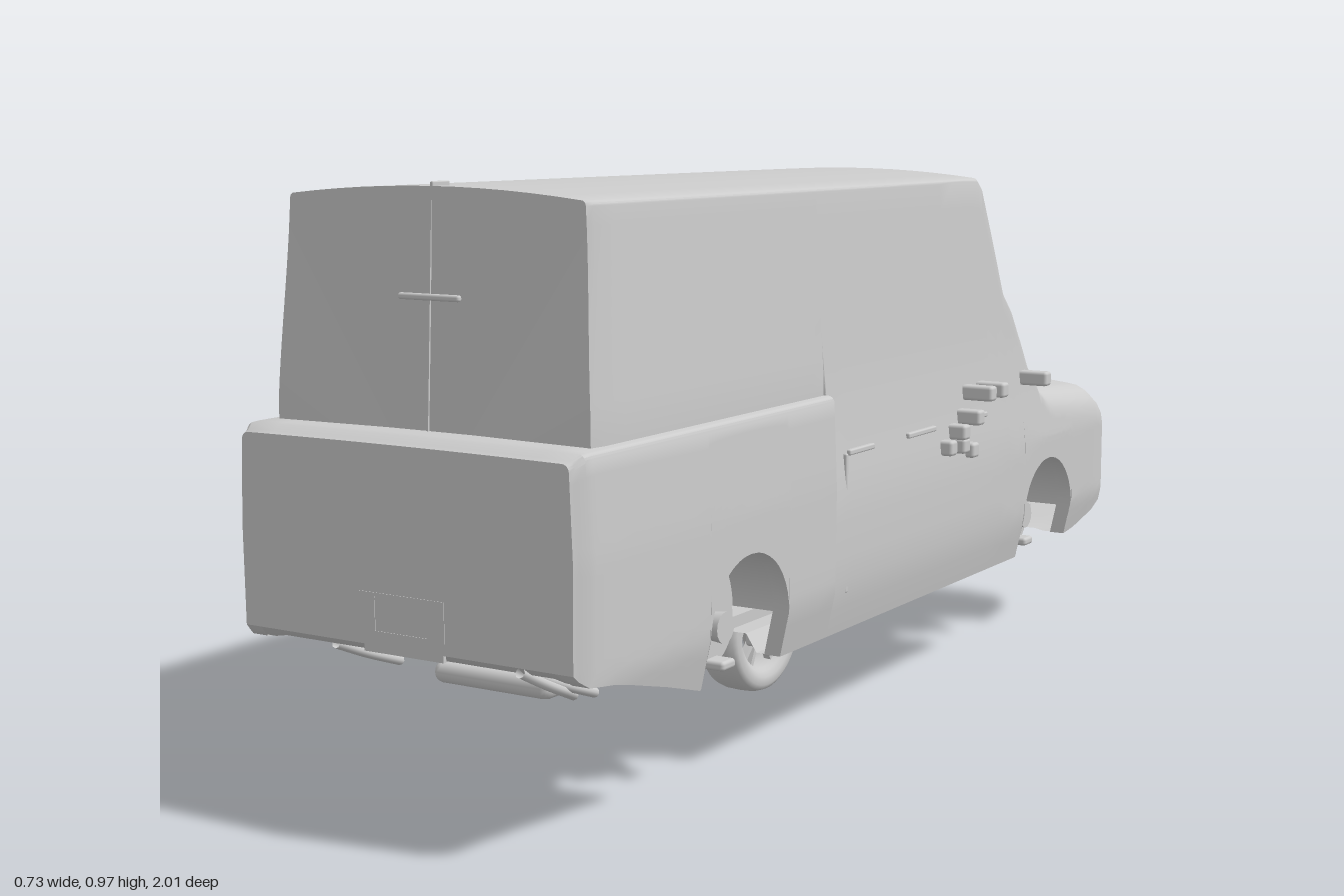
import * as THREE from 'three';
import { mergeVertices, toCreasedNormals } from 'three/addons/utils/BufferGeometryUtils.js';
import { RoundedBoxGeometry } from 'three/addons/geometries/RoundedBoxGeometry.js';

const { lerp, smoothstep } = THREE.MathUtils;

// linear interpolation in a short list of [key, value] pairs
function table(pairs, k) {
  if (k <= pairs[0][0]) return pairs[0][1];
  for (let i = 1; i < pairs.length; i++) {
    const [a, va] = pairs[i - 1], [b, vb] = pairs[i];
    if (k <= b) return lerp(va, vb, (k - a) / (b - a));
  }
  return pairs[pairs.length - 1][1];
}

// skin over equal-length cross-sections of [x, y, z], with optional flat ends
function loft(sections, caps = false) {
  const n = sections[0].length, pos = sections.flat(2), idx = [];
  for (let i = 0; i < sections.length - 1; i++) {
    for (let j = 0; j < n - 1; j++) {
      const a = i * n + j;
      idx.push(a, a + 1, a + n, a + 1, a + n + 1, a + n);
    }
  }
  if (caps) {
    [0, sections.length - 1].forEach((s, end) => {
      const c = pos.length / 3, first = sections[s][0];
      pos.push(0, first[1], first[2]);
      for (let j = 0; j < n - 1; j++) {
        const a = s * n + j;
        if (end) idx.push(c, a, a + 1); else idx.push(c, a + 1, a);
      }
    });
  }
  const g = new THREE.BufferGeometry();
  g.setAttribute('position', new THREE.Float32BufferAttribute(pos, 3));
  g.setIndex(idx);
  return toCreasedNormals(mergeVertices(g, 1e-5), 0.55);
}

// outlines along the vehicle, nose at -z
const TOP = [[-1, .37], [-.985, .425], [-.965, .458], [-.93, .495], [-.88, .513], [-.75, .522], [-.64, .532], [-.61, .54],
  [-.556, .652], [-.52, .71], [-.485, .745], [-.445, .85], [-.405, .945], [-.38, .96], [.93, .965]];
const BOTTOM = [[-1, .31], [-.985, .275], [-.95, .25], [-.8, .205], [-.7, .19], [.66, .19], [.76, .22], [.9, .258], [.98, .27], [1, .29]];
const CORNER = [[-1, .05], [-.93, .07], [-.66, .06], [-.6, .025], [-.4, .012], [-.3, .008]];
const SIDE = [[.19, .302], [.27, .32], [.42, .32], [.52, .309], [.62, .299], [.945, .28]];
const BOX_SIDE = [[.19, .302], [.27, .32], [.45, .322], [.605, .316]];
const NOSE = [[-1, .78], [-.985, .87], [-.965, .93], [-.93, .985], [-.88, 1.01], [-.7, 1]];
const ARCHES = [{ z: -.636, y: .258, r: .118 }, { z: .535, y: .265, r: .12 }];

function bottomAt(z) {
  let y = table(BOTTOM, z);
  for (const a of ARCHES) {
    const d = Math.abs(z - a.z);
    if (d <= a.r + 1e-6) y = Math.max(y, a.y + Math.sqrt(Math.max(0, a.r * a.r - d * d)));
  }
  return y;
}

// sorted stations, dense around the wheel arches
function stations(from, to, extra) {
  const list = [...extra];
  for (let z = from; z < to; z += .05) list.push(z);
  for (const a of ARCHES) {
    list.push(a.z - a.r - .001, a.z + a.r + .001);
    for (let i = 0; i <= 20; i++) list.push(a.z + a.r * Math.cos(i * Math.PI / 20));
  }
  list.push(to);
  return [...new Set(list.filter(z => z >= from && z <= to).map(z => +z.toFixed(4)))].sort((p, q) => p - q);
}

// one arch-shaped section: flank, rounded shoulder, crowned top, mirrored
function section(z, yb, yt, r, crown, width) {
  const half = [], ys = yt - crown - r, w = width(ys);
  half.push([width(yb) - .03, yb]);
  for (let i = 0; i <= 16; i++) {
    const y = lerp(yb, ys, i / 16);
    half.push([width(y), y]);
  }
  for (let i = 1; i <= 5; i++) {
    const a = i * Math.PI / 10;
    half.push([w - r + r * Math.cos(a), ys + r * Math.sin(a)]);
  }
  for (let i = 1; i <= 6; i++) {
    const u = 1 - i / 6;
    half.push([(w - r) * u, yt - crown * u * u]);
  }
  const other = half.slice(0, -1).reverse().map(([x, y]) => [-x, y]);
  return [...half, ...other].map(([x, y]) => {
    // the windscreen sweeps back toward its sides
    const sweep = smoothstep(z, -.66, -.58) * (1 - smoothstep(z, -.42, -.32)) * smoothstep(y, .5, .57);
    return [x, y, z + .025 * sweep * Math.min(1, (x / .28) ** 2)];
  });
}

export function createModel() {
  const model = new THREE.Group();
  const grey = new THREE.MeshStandardMaterial({ color: 0xcccccc, side: THREE.DoubleSide });
  grey.name = 'plain grey';
  const add = (name, geometry, x = 0, y = 0, z = 0, parent = model) => {
    const m = new THREE.Mesh(geometry, grey);
    m.name = name;
    m.position.set(x, y, z);
    parent.add(m);
    return m;
  };
  const block = (name, w, h, d, x, y, z, r = .006) => add(name, new RoundedBoxGeometry(w, h, d, 2, r), x, y, z);
  const tube = (name, pts, r) => add(name, new THREE.TubeGeometry(
    new THREE.CatmullRomCurve3(pts.map(p => new THREE.Vector3(...p))), 16, r, 8));

  // hood, windscreen and cabin
  const cabinZ = stations(-1, .93, [...TOP.map(p => p[0]), -.58, -.36, .26, .265]);
  add('cabinShell', loft(cabinZ.map(z => {
    const inBox = z > .262, back = .005 * smoothstep(z, .9, .93);
    return section(z, inBox ? .5 : bottomAt(z), table(TOP, z), table(CORNER, z), .015,
      y => Math.min(table(SIDE, y), inBox ? .298 : 1) * table(NOSE, z) - back);
  }).map(s => s.map(([x, y, z]) => [x, y, z > .9 ? z - .02 * smoothstep(y, .6, .96) : z])), true));

  // wider rear load box
  add('rearBox', loft(stations(.26, 1, [.975, .99]).map(z => {
    const end = smoothstep(z, .97, 1) * .012;
    return section(z, bottomAt(z), .605 - end, .012, .002, y => table(BOX_SIDE, y) - end);
  }), true));

  // underside pans between the arches
  for (const [a, b] of [[-1, -.755], [-.517, .414], [.656, 1]]) {
    const rows = [];
    for (let i = 0; i <= 12; i++) {
      const z = lerp(a, b, i / 12), y = table(BOTTOM, z) + .001, w = table(SIDE, y) * table(NOSE, z) - .015;
      const lift = a > -.6 && b < .5 ? .03 : .004;
      rows.push([[-w, y, z], [-w + .03, y, z], [-w + .05, y + lift, z], [w - .05, y + lift, z], [w - .03, y, z], [w, y, z]]);
    }
    add('underPan', loft(rows));
  }
  add('floor', new THREE.BoxGeometry(.42, .02, 1.6), 0, .235, 0);

  // wheel housings and brakes
  for (const s of [-1, 1]) {
    for (const a of ARCHES) {
      add('wheelHousing', new THREE.CylinderGeometry(a.r, a.r, .1, 28, 1, true, 0, Math.PI).rotateZ(Math.PI / 2), s * .26, a.y, a.z);
      add('housingWall', new THREE.CircleGeometry(a.r, 28, 0, Math.PI).rotateY(Math.PI / 2), s * .212, a.y, a.z);
      add('brakeDisc', new THREE.CylinderGeometry(.065, .065, .012, 28).rotateZ(Math.PI / 2), s * .24, a.y - .005, a.z);
      add('hub', new THREE.CylinderGeometry(.022, .026, .035, 16).rotateZ(Math.PI / 2), s * .255, a.y - .005, a.z);
      block('suspensionArm', .12, .016, .04, s * .22, .2, a.z);
    }
    // chassis rails, rear struts
    block('chassisRail', .02, .025, .7, s * .2, .19, -.01);
    tube('rearStrut', [[s * .19, .26, .93], [s * .19, .23, .86], [s * .19, .2, .78]], .008);
    // mirrors and small side blocks: [z, y, outer x]
    for (const [z, y, x] of [[-.53, .55, .362], [-.33, .55, .362], [-.27, .55, .365], [-.24, .508, .355],
      [-.2, .485, .345], [-.16, .46, .338], [-.21, .458, .34], [-.26, .443, .335]]) {
      block('sideBlock', x - .3, .028, .028, s * (x + .3) / 2, y, z);
    }
    // door handles
    for (const [z, len] of [[.16, .09], [-.07, .11], [-.32, .05]]) block('doorHandle', .012, .01, len, s * .312, .5, z, .003);
    block('boxEdge', .008, .24, .008, s * .314, .38, .215, .003);
  }

  // cross members and exhaust
  for (const z of [-.45, -.25, .3, .55]) block('crossMember', .42, .018, .03, 0, .205, z);
  block('silencer', .225, .06, .1, .032, .195, .56, .025);
  block('rearSilencer', .225, .035, .075, .032, .208, .8, .016);
  tube('exhaustPipe', [[.1, .2, -.5], [.12, .2, 0], [.1, .195, .35], [.06, .195, .56]], .01);
  tube('tailPipe', [[.15, .19, .78], [.19, .22, .86], [.205, .25, .93], [.208, .28, .99]], .008);

  // rear details
  const frame = new THREE.Shape([[-.08, .308], [.08, .308], [.08, .37], [-.08, .37]].map(p => new THREE.Vector2(...p)));
  frame.holes.push(new THREE.Path([[-.05, .312], [-.05, .365], [.05, .365], [.05, .312]].map(p => new THREE.Vector2(...p))));
  add('rearPlateFrame', new THREE.ExtrudeGeometry(frame, { depth: .004, bevelEnabled: false }), 0, 0, .997);
  add('rearStep', new THREE.BoxGeometry(.15, .014, .006), 0, .285, .994);
  block('highLamp', .115, .01, .01, 0, .803, .92, .004);
  add('rearDoorSeam', new THREE.BoxGeometry(.002, .34, .003).rotateX(-.055), 0, .775, .92);
  block('roofNub', .006, .012, .04, 0, .966, .89, .002);

  // nose details
  add('nosePanel', new THREE.BoxGeometry(.32, .08, .008).rotateX(.3), 0, .385, -.993);
  add('lowerIntake', new THREE.BoxGeometry(.3, .022, .008).rotateX(-.4), 0, .297, -.992);

  // wipers
  tube('wiper', [[-.16, .6, -.582], [-.09, .587, -.59], [-.02, .575, -.597]], .003);
  tube('wiper', [[.01, .58, -.597], [.08, .6, -.588], [.15, .635, -.564]], .003);

  // single wheel under the middle
  const wheel = new THREE.Group();
  wheel.name = 'centreWheel';
  wheel.position.set(0, .127, .005);
  model.add(wheel);
  const tyre = [[.088, -.034], [.098, -.041], [.113, -.041], [.122, -.035], [.126, -.022], [.127, 0],
    [.126, .022], [.122, .035], [.113, .041], [.098, .041], [.088, .034], [.082, .03], [.08, 0], [.082, -.03], [.088, -.034]];
  add('tyre', new THREE.LatheGeometry(tyre.map(p => new THREE.Vector2(...p)), 48).rotateZ(Math.PI / 2), 0, 0, 0, wheel);
  add('wheelHub', new THREE.CylinderGeometry(.02, .02, .05, 20).rotateZ(Math.PI / 2), 0, 0, 0, wheel);
  for (let i = 0; i < 5; i++) {
    for (const d of [-.17, .17]) {
      const spoke = new THREE.BoxGeometry(.014, .072, .009).translate(0, .048, 0);
      for (const s of [-1, 1]) add('spoke', spoke, s * .018, 0, 0, wheel).rotation.x = i * Math.PI * .4 + d;
    }
  }
  return model;
}
